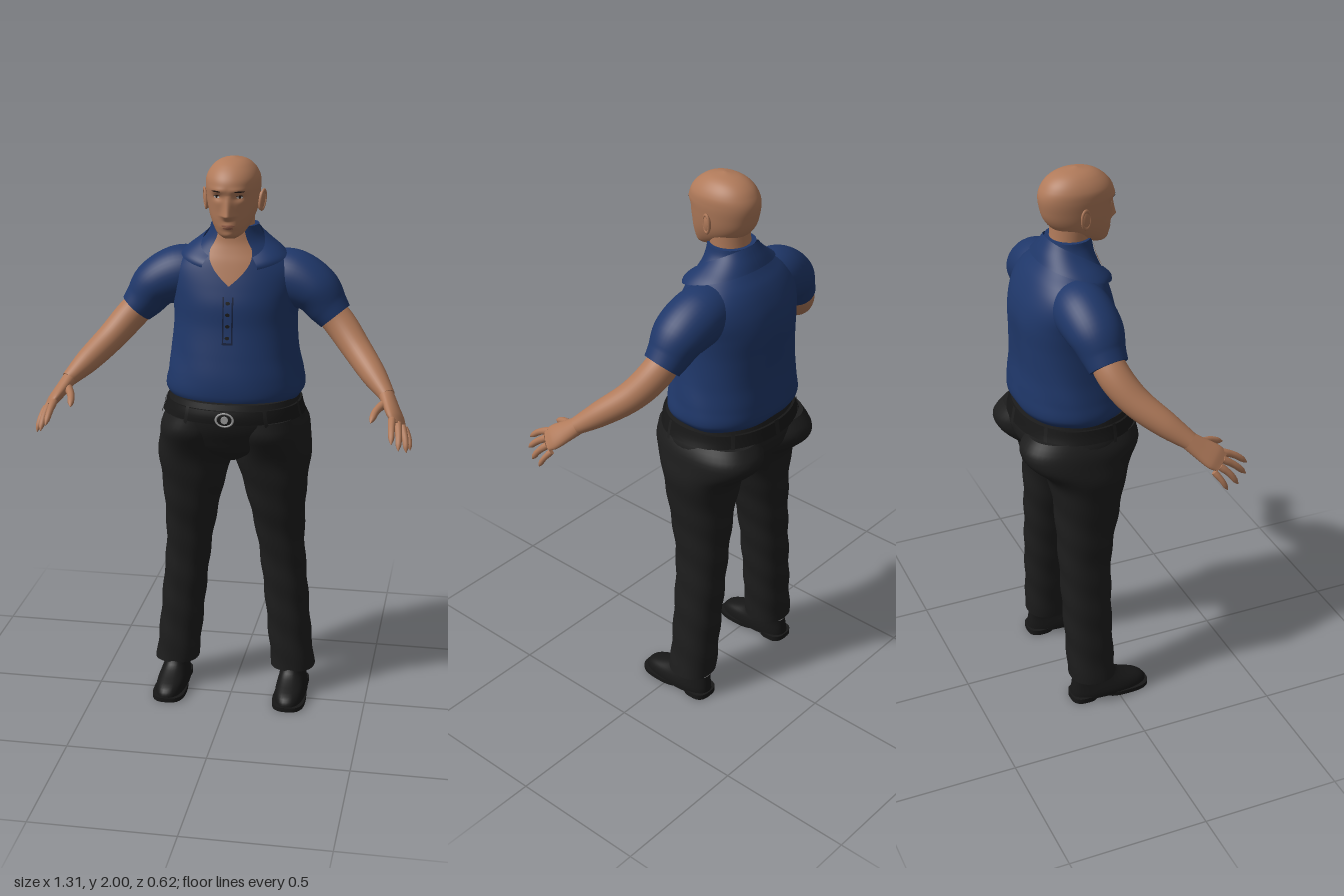
import * as THREE from 'three';

const mat = (name, color, side = THREE.FrontSide) => {
  const m = new THREE.MeshStandardMaterial({ color, side });
  m.name = name;
  return m;
};
const V = (x, y, z) => new THREE.Vector3(x, y, z);
const bump = (d, w) => Math.exp(-(d * d) / (w * w));

// Smooth interpolation of a table of rows, keyed by the first column.
function lookup(rows, t) {
  let i = 0;
  while (i < rows.length - 2 && t > rows[i + 1][0]) i++;
  const a = rows[i], b = rows[i + 1], p = rows[i - 1] || a, n = rows[i + 2] || b;
  const h = b[0] - a[0], s = Math.min(1, Math.max(0, (t - a[0]) / h));
  return a.map((_, k) => {
    const ma = ((b[k] - p[k]) / (b[0] - p[0])) * h, mb = ((n[k] - a[k]) / (n[0] - a[0])) * h;
    const s2 = s * s, s3 = s2 * s;
    return (2 * s3 - 3 * s2 + 1) * a[k] + (s3 - 2 * s2 + s) * ma + (3 * s2 - 2 * s3) * b[k] + (s3 - s2) * mb;
  });
}

// Body surface from rows [y, centreX, halfWidth, zFront, zBack]; angle 0 is the front.
const surface = (rows, power = 2.2, relief = null) => (a, y, off = 0) => {
  const [, cx, rx, zf, zb] = lookup(rows, y);
  const r = (c) => Math.sign(c) * Math.abs(c) ** (2 / power);
  const o = off + (relief ? relief(a, y) : 0);
  return V(cx + (rx + o) * r(Math.sin(a)), y, (zf + zb) / 2 + ((zf - zb) / 2 + o) * r(Math.cos(a)));
};

// Grid mesh geometry over f(u, v); closed grids wrap in u and may get flat end caps.
function grid(f, nu, nv, closed = false, caps = false) {
  const pos = [], idx = [], cols = closed ? nu : nu + 1;
  for (let j = 0; j <= nv; j++)
    for (let i = 0; i < cols; i++) pos.push(...f(i / nu, j / nv).toArray());
  for (let j = 0; j < nv; j++)
    for (let i = 0; i < nu; i++) {
      const a = j * cols + i, b = j * cols + ((i + 1) % cols);
      idx.push(a, b, b + cols, a, b + cols, a + cols);
    }
  if (caps) for (const v of [0, 1]) {
    const start = pos.length / 3, c = V(0, 0, 0);
    for (let i = 0; i < nu; i++) {
      const p = f(i / nu, v);
      c.addScaledVector(p, 1 / nu);
      pos.push(...p.toArray());
    }
    pos.push(...c.toArray());
    for (let i = 0; i < nu; i++) {
      const a = start + i, b = start + ((i + 1) % nu);
      idx.push(...(v ? [a, b, start + nu] : [b, a, start + nu]));
    }
  }
  const g = new THREE.BufferGeometry();
  g.setAttribute('position', new THREE.Float32BufferAttribute(pos, 3));
  g.setIndex(idx);
  g.computeVertexNormals();
  return g;
}

const loft = (s, y0, y1, nu, nv, off = 0) =>
  grid((u, v) => s(u * Math.PI * 2, y0 + (y1 - y0) * v, off), nu, nv, true, true);
const strip = (s, a0, a1, y0, y1, off) =>
  grid((u, v) => s(a0 + (a1 - a0) * u, y0 + (y1 - y0) * v, off), 8, 8);
// Thin oval lying on a surface
const oval = (s, a, y, wa, hy, off) => grid((u, v) =>
  s(a + wa * (1 - v) * Math.cos(u * Math.PI * 2), y + hy * (1 - v) * Math.sin(u * Math.PI * 2), off), 20, 3, true);

// Tube through points with [wide, thick] radii; wide lies along ref.
function limb(points, radii, ref, nu = 24, nv = 24) {
  const curve = new THREE.CatmullRomCurve3(points.map((p) => V(...p)));
  const rows = radii.map((r, i) => [i / (radii.length - 1), ...r]);
  return grid((u, v) => {
    const t = curve.getTangent(v), x = ref.clone().addScaledVector(t, -ref.dot(t)).normalize();
    const z = x.clone().cross(t), [, rx, rz] = lookup(rows, v), a = u * Math.PI * 2;
    return curve.getPoint(v).addScaledVector(x, rx * Math.sin(a)).addScaledVector(z, rz * Math.cos(a));
  }, nu, nv, true, true);
}

export function createModel() {
  const root = new THREE.Group();
  root.name = 'standingMan';
  const skin = mat('skin', 0xb07a5a), shirt = mat('navy shirt', 0x1f3769, THREE.DoubleSide);
  const trouser = mat('black trousers', 0x1d1d1d), leather = mat('black leather', 0x171717);
  const trim = mat('dark navy trim', 0x111d3a), metal = mat('silver', 0x9c9c9c);
  const dark = mat('dark brown', 0x2a1c16), lip = mat('lips', 0x925c48), white = mat('off white', 0xc9c9c9);
  const add = (name, geo, m) => {
    const mesh = new THREE.Mesh(geo, m);
    mesh.name = name;
    root.add(mesh);
    return mesh;
  };
  const sides = [['left', 1], ['right', -1]];

  // Shirt body with soft folds and a crease down the back
  const torso = surface([
    [1.15, 0, .225, .09, -.265], [1.18, 0, .247, .1, -.285], [1.24, 0, .24, .1, -.286], [1.32, 0, .226, .088, -.28],
    [1.42, 0, .218, .072, -.28], [1.5, 0, .222, .065, -.28], [1.56, 0, .23, .05, -.268], [1.61, 0, .222, .035, -.248],
    [1.65, 0, .19, .022, -.225], [1.68, 0, .15, .01, -.2], [1.71, 0, .112, 0, -.177], [1.74, 0, .09, -.004, -.162],
    [1.77, 0, .082, -.008, -.155]], 2.2, (a, y) =>
    .004 * Math.sin(7 * a + 22 * y) * bump(y - 1.24, .1) * Math.sin(a) ** 2 - .012 * bump(a - Math.PI, .2) * bump(y - 1.33, .16));
  add('shirtBody', loft(torso, 1.15, 1.765, 96, 70), shirt);

  // Open neckline, placket and buttons
  add('openNeckline', grid((u, v) => {
    const y = 1.57 + .198 * v;
    return torso((u - .5) * Math.min(1, Math.max(.01, (y - 1.57) / .12)), y, .004);
  }, 16, 24), skin);
  add('placket', strip(torso, -.065, .065, 1.37, 1.535, .003), trim);
  add('placketFront', strip(torso, -.045, .045, 1.378, 1.56, .005), shirt);
  for (let i = 0; i < 4; i++) add('shirtButton', oval(torso, 0, 1.395 + i * .04, .025, .006, .008), leather);

  for (const [side, s] of sides) {
    // Folded collar half
    add(side + 'Collar', grid((u, v) => {
      const e = Math.sin(u * Math.PI / 2), top = 1.665 + .105 * e, bottom = 1.628 + .072 * e;
      return torso(s * (.4 + u * (Math.PI - .4)), top + (bottom - top) * v, .006 + .014 * Math.sin(v * 2.3));
    }, 32, 8), shirt);

    // Short sleeve and arm
    add(side + 'Sleeve', limb([[.12 * s, 1.58, -.115], [.2 * s, 1.572, -.11], [.28 * s, 1.535, -.1], [.325 * s, 1.48, -.092], [.354 * s, 1.446, -.086]],
      [[.09, .09], [.1, .1], [.088, .095], [.073, .077], [.062, .068]], V(s, 1, 0), 40), shirt);
    add(side + 'Arm', limb([[.3 * s, 1.5, -.095], [.37 * s, 1.425, -.078], [.435 * s, 1.35, -.03], [.505 * s, 1.28, .05], [.557 * s, 1.23, .115]],
      [[.054, .054], [.056, .056], [.051, .052], [.043, .044], [.027, .031]], V(s, 1, 0), 32), skin);

    // Hand
    const across = V(.04 * s, -.04, -.05).normalize();
    add(side + 'Palm', limb([[.548 * s, 1.24, .1], [.572 * s, 1.205, .145], [.594 * s, 1.175, .185], [.608 * s, 1.157, .208]],
      [[.029, .026], [.038, .023], [.045, .019], [.038, .01]], across), skin);
    const fingers = [
      ['Thumb', [.553, 1.213, .145], [.527, 1.198, .2], [.515, 1.175, .255], .0135],
      ['IndexFinger', [.583, 1.18, .218], [.586, 1.158, .265], [.59, 1.122, .31], .012],
      ['MiddleFinger', [.603, 1.165, .212], [.61, 1.135, .255], [.613, 1.096, .295], .012],
      ['RingFinger', [.617, 1.15, .195], [.63, 1.118, .228], [.637, 1.078, .255], .0115],
      ['LittleFinger', [.624, 1.137, .172], [.64, 1.108, .193], [.647, 1.072, .212], .01]];
    for (const [name, a, b, c, r] of fingers)
      add(side + name, limb([a, b, c].map((p) => [p[0] * s, p[1], p[2]]),
        [1.05, 1.1, 1, .95, .9, .75, .12].map((k) => [r * k, r * k]), across, 12, 14), skin);

    // Trouser leg
    const leg = surface([
      [.1, .22, .08, -.005, -.176], [.2, .209, .079, -.008, -.178], [.4, .19, .08, -.008, -.185], [.6, .17, .085, 0, -.19],
      [.8, .152, .109, .037, -.197], [.9, .143, .13, .055, -.212], [.95, .138, .138, .07, -.24], [1, .136, .136, .09, -.293],
      [1.05, .131, .131, .113, -.31], [1.1, .12, .118, .11, -.28]].map((r) => [r[0], r[1] * s, ...r.slice(2)]), 2.3,
      (a, y) => .002 * Math.sin(45 * y + 2 * a));
    add(side + 'TrouserLeg', loft(leg, .1, 1.1, 48, 60), trouser);

    // Shoe with sole, heel and a glimpse of sock
    const shoe = surface([
      [.012, .224 * s, .057, .122, -.172], [.03, .224 * s, .057, .119, -.172], [.05, .223 * s, .053, .098, -.17], [.07, .222 * s, .047, .045, -.167],
      [.09, .22 * s, .044, .005, -.164], [.13, .22 * s, .043, -.02, -.162]], 2.4);
    add(side + 'Shoe', loft(shoe, .012, .13, 40, 16), leather);
    add(side + 'Sock', strip(shoe, Math.PI - .6, Math.PI + .6, .088, .104, .003), white);
    const flat = (zf, zb, w) => surface([[0, .224 * s, w, zf, zb], [.02, .224 * s, w, zf, zb]], 2.8);
    add(side + 'Sole', loft(flat(.128, -.06, .061), .002, .018, 32, 1), leather);
    add(side + 'Heel', loft(flat(-.075, -.177, .052), 0, .02, 32, 1), leather);
  }

  // Hips, belt, loops and plain buckle
  const hips = surface([
    [.93, 0, .04, .02, -.13], [.97, 0, .16, .07, -.2], [1.02, 0, .245, .098, -.268], [1.07, 0, .253, .12, -.286],
    [1.12, 0, .238, .128, -.28], [1.17, 0, .228, .115, -.27]]);
  add('hips', loft(hips, .93, 1.165, 64, 24), trouser);
  add('belt', loft(hips, 1.098, 1.145, 64, 4, .008), leather);
  for (const a of [.55, 1.3, 2.4, 3.14, 3.88, 4.98, 5.73])
    add('beltLoop', strip(hips, a - .03, a + .03, 1.088, 1.152, .012), trouser);
  const rim = add('buckleRim', new THREE.TorusGeometry(.026, .0035, 8, 32), metal);
  rim.position.set(0, 1.117, .139);
  rim.scale.set(1.15, .9, 1);
  const plate = add('bucklePlate', new THREE.CylinderGeometry(.013, .013, .006, 20).rotateX(Math.PI / 2), metal);
  plate.position.set(0, 1.117, .139);

  // Neck and head, with nose, brow, sockets, lips and chin shaped in
  add('neck', limb([[0, 1.66, -.09], [0, 1.74, -.078], [0, 1.82, -.07]], [[.076, .075], [.07, .069], [.07, .07]], V(1, 0, 0), 32), skin);
  const skull = surface([
    [1.735, 0, .022, .045, .005], [1.747, 0, .042, .054, -.03], [1.77, 0, .06, .061, -.09], [1.8, 0, .075, .066, -.14],
    [1.83, 0, .084, .068, -.165], [1.87, 0, .09, .073, -.178], [1.91, 0, .093, .077, -.182], [1.94, 0, .089, .067, -.172],
    [1.97, 0, .07, .039, -.147], [1.99, 0, .042, .002, -.108], [2, 0, .004, -.048, -.056]], 2.1);
  const head = (a, y, off = 0) => {
    const p = skull(a, y, off);
    if (Math.cos(a) <= 0) return p;
    const x = Math.abs(p.x), rise = y > 1.815 ? Math.max(0, 1 - (y - 1.815) / .07) : Math.max(0, 1 - (1.815 - y) / .018);
    p.z += .025 * rise * bump(x, .011 + .007 * rise) + .005 * bump(y - 1.777, .012) * bump(x, .025)
      + .005 * bump(y - 1.748, .012) * bump(x, .02) + .004 * bump(y - 1.902, .01) * bump(x - .035, .03)
      - .009 * bump(y - 1.878, .012) * bump(x - .036, .017);
    return p;
  };
  add('head', loft(head, 1.735, 2, 128, 100), skin);
  add('upperLip', oval(head, 0, 1.781, .32, .004, .002), lip);
  add('lowerLip', oval(head, 0, 1.773, .27, .004, .002), lip);
  for (const [side, s] of sides) {
    add(side + 'Eye', oval(head, .42 * s, 1.879, .12, .0045, .002), white);
    add(side + 'Iris', oval(head, .42 * s, 1.879, .045, .0045, .003), dark);
    add(side + 'UpperLid', oval(head, .42 * s, 1.884, .14, .0018, .003), dark);
    add(side + 'Eyebrow', oval(head, .43 * s, 1.899, .2, .0025, .002), dark);
    const ear = add(side + 'Ear', new THREE.SphereGeometry(1, 20, 14), skin);
    ear.scale.set(.01, .034, .019);
    ear.position.set(.095 * s, 1.85, -.057);
    ear.rotation.set(-.15, -.35 * s, -.12 * s);
    const helix = add(side + 'EarRim', new THREE.TorusGeometry(.02, .0045, 8, 24).rotateY(Math.PI / 2), skin);
    helix.scale.set(1, 1.6, .9);
    helix.position.set(.1 * s, 1.852, -.058);
    helix.rotation.copy(ear.rotation);
  }
  return root;
}
